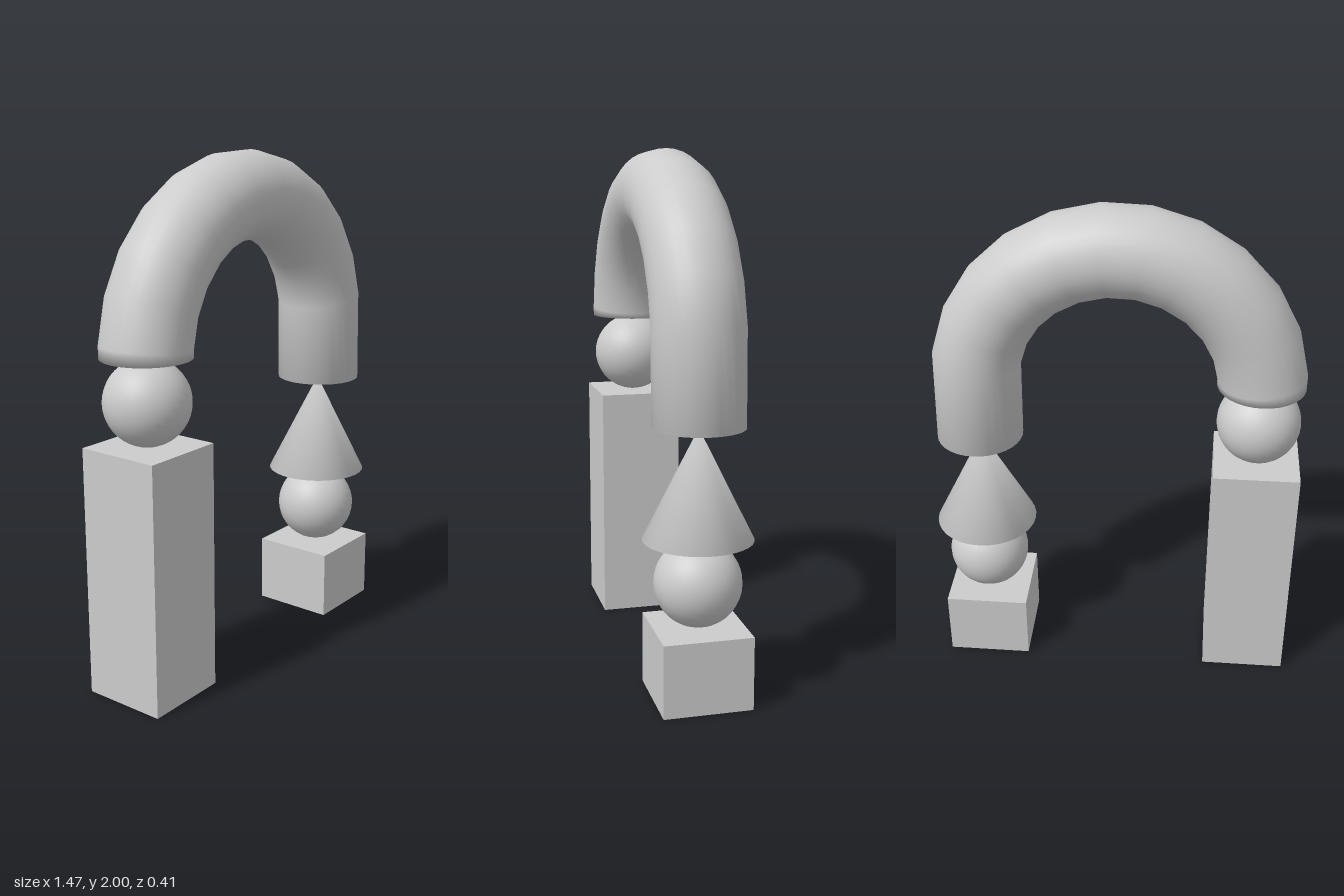
import * as THREE from 'three';
import { mergeVertices } from 'three/addons/utils/BufferGeometryUtils.js';

const LEFT_X = 0.547; // distance of each column from the middle
const SIDES = 32;

// Share vertices so that shading runs smoothly over the edges
function smooth(geometry) {
  geometry.deleteAttribute('normal');
  geometry.deleteAttribute('uv');
  const merged = mergeVertices(geometry, 1e-4);
  merged.computeVertexNormals();
  return merged;
}

// Closed tube swept over the arch, one ring per station [x, y, angle of the ring]
function archGeometry(radius) {
  const stations = [[-LEFT_X, 1.297, Math.PI]];
  for (let deg = 174.5; deg > 9; deg -= 15) {
    const a = THREE.MathUtils.degToRad(deg);
    stations.push([0.55 * Math.cos(a), 1.28 + 0.55 * Math.sin(a), a]);
  }
  stations.push([LEFT_X + 0.003, 1.02, 0]);

  const pos = [], index = [];
  for (const [x, y, a] of stations) {
    for (let j = 0; j < SIDES; j++) {
      const t = (j / SIDES) * Math.PI * 2, r = radius * Math.cos(t);
      pos.push(x + r * Math.cos(a), y + r * Math.sin(a), radius * Math.sin(t));
    }
  }
  const first = stations[0], last = stations[stations.length - 1];
  const startCentre = pos.length / 3, endCentre = startCentre + 1;
  pos.push(first[0], first[1], 0, last[0], last[1], 0);

  const lastRing = (stations.length - 1) * SIDES;
  for (let j = 0; j < SIDES; j++) {
    const k = (j + 1) % SIDES;
    for (let o = 0; o < lastRing; o += SIDES) {
      index.push(o + j, o + k, o + SIDES + j, o + k, o + SIDES + k, o + SIDES + j);
    }
    index.push(startCentre, k, j, endCentre, lastRing + j, lastRing + k);
  }
  const g = new THREE.BufferGeometry();
  g.setAttribute('position', new THREE.Float32BufferAttribute(pos, 3));
  g.setIndex(index);
  g.computeVertexNormals();
  return g;
}

export function createModel() {
  const model = new THREE.Group();
  model.name = 'archSculpture';
  const material = new THREE.MeshStandardMaterial({ color: 0xcccccc });

  const assembly = new THREE.Group();
  assembly.name = 'stackedShapes';
  assembly.position.set(-0.018, 0, -0.002);
  assembly.rotation.y = -0.027;
  model.add(assembly);

  const add = (name, geometry, x, y) => {
    const mesh = new THREE.Mesh(geometry, material);
    mesh.name = name;
    mesh.position.set(x, y, 0);
    assembly.add(mesh);
  };
  const block = (h) => new THREE.BoxGeometry(0.335, h, 0.335);
  const ball = () => new THREE.SphereGeometry(0.163, 32, 20);

  // Tall column
  add('tallBlock', block(0.97), -LEFT_X, 0.485);
  add('tallColumnBall', ball(), -LEFT_X, 1.133);

  // Short column
  add('shortBlock', block(0.277), LEFT_X - 0.005, 0.1385);
  add('shortColumnBall', ball(), LEFT_X, 0.443);
  add('cone', smooth(new THREE.ConeGeometry(0.204, 0.41, SIDES)), LEFT_X, 0.812);

  // Bent tube joining the columns
  add('archTube', archGeometry(0.17), 0, 0);

  return model;
}
